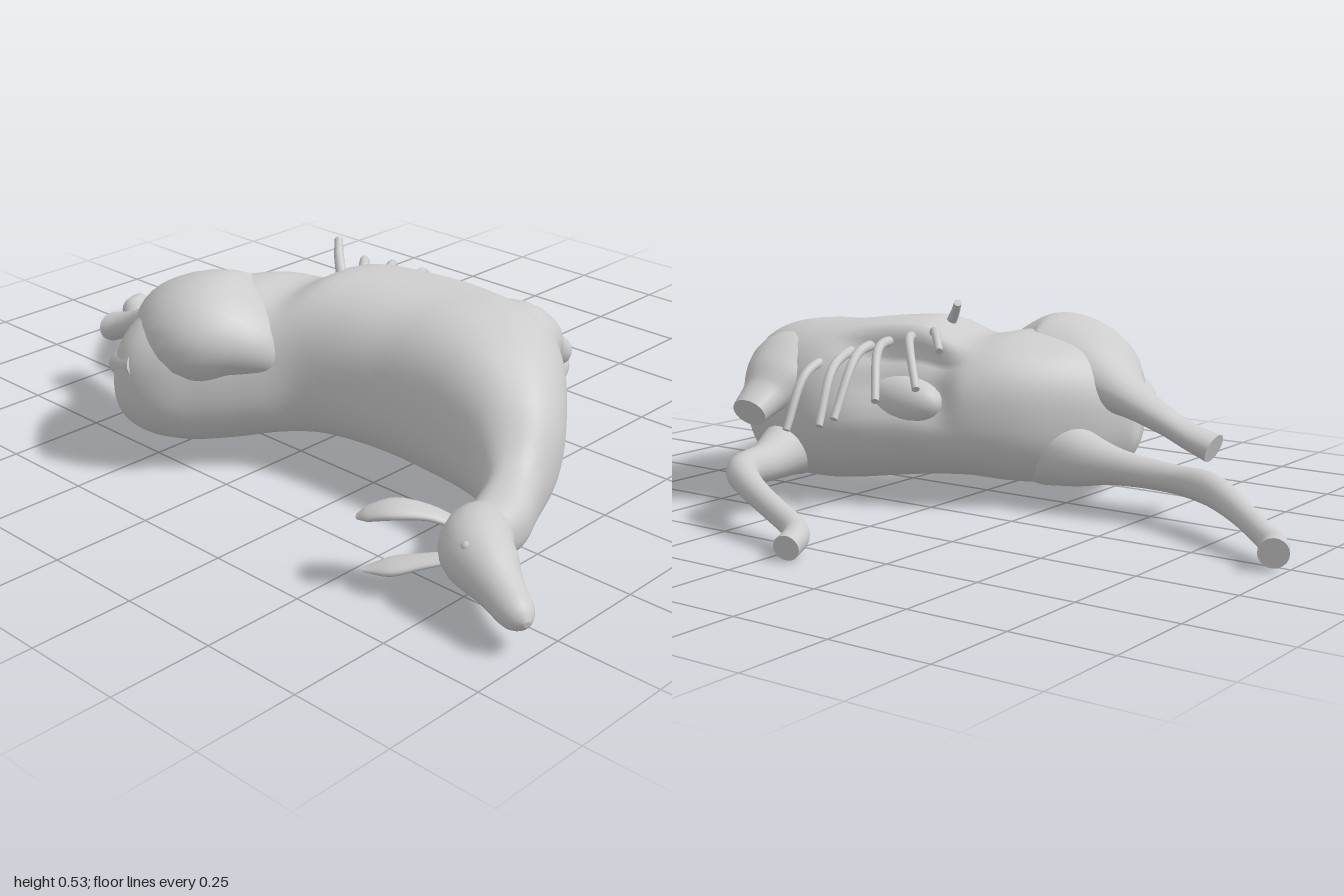
import * as THREE from 'three';

const material = new THREE.MeshStandardMaterial({ color: 0xcccccc, side: THREE.DoubleSide });
const V = (a) => new THREE.Vector3(a[0], a[1], a[2]);
const smooth = (a, b, x) => THREE.MathUtils.smoothstep(x, a, b);
const swell = (v) => Math.sign(v) * Math.pow(Math.abs(v), 0.85);

// Skin a list of equal rings with smooth sides and flat end caps.
function skin(rings) {
  const n = rings[0].length, pos = [], idx = [];
  rings.forEach((r) => r.forEach((p) => pos.push(p.x, p.y, p.z)));
  for (let i = 0; i < rings.length - 1; i++) {
    for (let j = 0; j < n; j++) {
      const a = i * n + j, b = i * n + (j + 1) % n;
      idx.push(a, a + n, b, b, a + n, b + n);
    }
  }
  [rings[0], rings[rings.length - 1]].forEach((r, end) => {
    const c = r.reduce((s, p) => s.add(p), new THREE.Vector3()).divideScalar(n);
    const base = pos.length / 3;
    pos.push(c.x, c.y, c.z);
    r.forEach((p) => pos.push(p.x, p.y, p.z));
    for (let j = 0; j < n; j++) {
      const a = base + 1 + j, b = base + 1 + (j + 1) % n;
      if (end) idx.push(base, b, a); else idx.push(base, a, b);
    }
  });
  // Turn the faces outward
  let volume = 0;
  const at = (i) => new THREE.Vector3().fromArray(pos, i * 3);
  for (let i = 0; i < idx.length; i += 3) volume += at(idx[i]).dot(at(idx[i + 1]).cross(at(idx[i + 2])));
  if (volume < 0) idx.reverse();
  const g = new THREE.BufferGeometry();
  g.setAttribute('position', new THREE.Float32BufferAttribute(pos, 3));
  g.setIndex(idx);
  g.computeVertexNormals();
  return g;
}

// Tapered tube through [x, y, z, radius] points; flat squeezes its thickness.
function limb(pts, { n = 20, steps = 36, flat = 1, round = false } = {}) {
  const path = new THREE.CatmullRomCurve3(pts.map(V));
  const radii = new THREE.CatmullRomCurve3(pts.map((p, i) => new THREE.Vector3(p[3], i, 0)));
  const rings = [];
  for (let i = 0; i <= steps; i++) {
    const t = i / steps, c = path.getPoint(t), dir = path.getTangent(t);
    let r = radii.getPoint(t).x;
    if (round) r *= Math.sqrt(Math.max(0.04, 1 - Math.pow(Math.max(0, (t - 0.85) / 0.15), 2)));
    const side = new THREE.Vector3(0, 1, 0).cross(dir).normalize();
    const up = dir.clone().cross(side);
    rings.push(Array.from({ length: n }, (_, j) => {
      const a = j / n * Math.PI * 2;
      return c.clone().addScaledVector(side, Math.cos(a) * r).addScaledVector(up, Math.sin(a) * r * flat);
    }));
  }
  return skin(rings);
}

// Body from sections [spineX, spineZ, bellyX, bellyZ, bottom, top].
function body(sections, n = 48, steps = 75) {
  const curve = (f) => new THREE.CatmullRomCurve3(sections.map(f));
  const L = curve((s) => new THREE.Vector3(s[0], 0, s[1]));
  const R = curve((s) => new THREE.Vector3(s[2], 0, s[3]));
  const H = curve((s, i) => new THREE.Vector3(s[4], s[5], i * 0.1));
  const rings = [];
  for (let i = 0; i <= steps; i++) {
    const t = i / steps, l = L.getPoint(t), r = R.getPoint(t), h = H.getPoint(t);
    const c = l.clone().add(r).multiplyScalar(0.5), half = r.clone().sub(l).multiplyScalar(0.5);
    // Open flank: hollow on the upper belly side, with a sharp upper rim
    const where = Math.exp(-Math.pow((t * (sections.length - 1) - 7.8) / 1.1, 4));
    rings.push(Array.from({ length: n }, (_, j) => {
      let a = j / n * Math.PI * 2;
      if (a > Math.PI) a -= Math.PI * 2;
      const dent = 1 - 0.3 * where * smooth(-0.25, 0.25, a) * (1 - smooth(0.8, 1.0, a));
      const p = c.clone().addScaledVector(half, swell(Math.cos(a)) * dent);
      p.y = (h.x + h.y) / 2 + swell(Math.sin(a)) * dent * (h.y - h.x) / 2;
      return p;
    }));
  }
  return skin(rings);
}

export function createModel() {
  const model = new THREE.Group();
  const add = (name, geometry) => {
    const mesh = new THREE.Mesh(geometry, material);
    mesh.name = name;
    model.add(mesh);
    return mesh;
  };

  // Neck, chest, belly and rump in one skin
  add('torso', body([
    [-0.51, 0.72, -0.47, 0.82, 0.08, 0.19],
    [-0.41, 0.685, -0.36, 0.805, 0.06, 0.20],
    [-0.33, 0.65, -0.25, 0.755, 0.05, 0.23],
    [-0.29, 0.57, -0.14, 0.72, 0.05, 0.33],
    [-0.28, 0.47, -0.01, 0.635, 0.04, 0.41],
    [-0.28, 0.36, 0.11, 0.52, 0.03, 0.45],
    [-0.29, 0.26, 0.155, 0.34, 0.035, 0.46],
    [-0.32, 0.16, 0.11, 0.18, 0.05, 0.475],
    [-0.36, 0.08, 0.06, 0.06, 0.06, 0.475],
    [-0.43, 0.01, 0.01, -0.05, 0.06, 0.43],
    [-0.52, -0.07, -0.04, -0.14, 0.045, 0.44],
    [-0.59, -0.14, -0.10, -0.22, 0.04, 0.43],
    [-0.62, -0.21, -0.18, -0.29, 0.05, 0.41],
    [-0.61, -0.27, -0.27, -0.345, 0.08, 0.36],
    [-0.55, -0.305, -0.36, -0.37, 0.14, 0.31],
    [-0.49, -0.32, -0.42, -0.35, 0.20, 0.25],
  ]));

  // Head
  add('head', limb([
    [-0.38, 0.13, 0.735, 0.05], [-0.45, 0.13, 0.75, 0.074], [-0.505, 0.13, 0.785, 0.081],
    [-0.535, 0.12, 0.84, 0.07], [-0.56, 0.105, 0.895, 0.052],
    [-0.58, 0.09, 0.945, 0.042], [-0.597, 0.08, 0.995, 0.036],
  ], { round: true }));
  const eye = add('eye', new THREE.SphereGeometry(0.014, 12, 8));
  eye.position.set(-0.567, 0.172, 0.81);

  // Ears
  add('upperEar', limb([
    [-0.49, 0.16, 0.73, 0.02], [-0.53, 0.185, 0.675, 0.03],
    [-0.575, 0.19, 0.615, 0.042], [-0.605, 0.175, 0.57, 0.032], [-0.62, 0.165, 0.55, 0.01],
  ], { flat: 0.4, steps: 20 }));
  add('lowerEar', limb([
    [-0.50, 0.09, 0.73, 0.02], [-0.55, 0.075, 0.67, 0.03],
    [-0.59, 0.06, 0.62, 0.036], [-0.625, 0.05, 0.575, 0.01],
  ], { flat: 0.4, steps: 20 }));

  // Forelegs: the lower one whole, the upper one cut short
  add('lowerForeleg', limb([
    [-0.10, 0.16, 0.46, 0.05], [0.02, 0.135, 0.425, 0.09], [0.13, 0.125, 0.385, 0.07],
    [0.26, 0.12, 0.335, 0.05], [0.39, 0.125, 0.29, 0.042], [0.45, 0.11, 0.21, 0.034],
    [0.50, 0.08, 0.09, 0.03], [0.54, 0.055, -0.01, 0.03],
    [0.57, 0.045, -0.04, 0.032], [0.62, 0.032, -0.055, 0.032],
  ], { steps: 48 }));
  add('upperForeleg', limb([
    [-0.12, 0.27, 0.42, 0.05], [-0.03, 0.31, 0.42, 0.13], [0.05, 0.325, 0.415, 0.13],
    [0.12, 0.31, 0.41, 0.10], [0.18, 0.275, 0.405, 0.066], [0.245, 0.24, 0.40, 0.05],
  ], { flat: 0.8 }));

  // Hind legs, the upper thigh broad and flat
  add('lowerHindLeg', limb([
    [-0.30, 0.20, -0.04, 0.05], [-0.26, 0.15, -0.16, 0.10], [-0.22, 0.135, -0.29, 0.08],
    [-0.21, 0.125, -0.43, 0.046], [-0.215, 0.115, -0.58, 0.036], [-0.19, 0.11, -0.69, 0.04],
    [-0.11, 0.09, -0.81, 0.032], [-0.03, 0.06, -0.92, 0.029],
    [0.005, 0.05, -0.96, 0.033], [0.045, 0.045, -0.978, 0.036],
  ], { steps: 48 }));
  add('upperHindLeg', limb([
    [-0.32, 0.27, 0.02, 0.05], [-0.37, 0.325, -0.05, 0.13], [-0.395, 0.338, -0.13, 0.185],
    [-0.38, 0.33, -0.24, 0.15], [-0.335, 0.285, -0.37, 0.072], [-0.315, 0.235, -0.50, 0.046],
    [-0.315, 0.20, -0.58, 0.045], [-0.32, 0.18, -0.635, 0.05],
  ], { flat: 0.74, n: 28 }));

  // Tail
  add('tail', limb([
    [-0.57, 0.28, -0.20, 0.05], [-0.565, 0.26, -0.27, 0.045], [-0.535, 0.23, -0.32, 0.03], [-0.51, 0.20, -0.345, 0.015],
  ], { flat: 0.8 }));

  // Bare ribs arching over the open flank: [root, middle, tip]
  const ribs = [
    [[0.04, 0.38, 0.28], [0.17, 0.34, 0.275], [0.25, 0.21, 0.27]],
    [[0.02, 0.40, 0.23], [0.15, 0.36, 0.20], [0.24, 0.23, 0.17]],
    [[-0.01, 0.41, 0.19], [0.12, 0.39, 0.15], [0.23, 0.25, 0.13]],
    [[-0.04, 0.42, 0.15], [0.09, 0.41, 0.10], [0.19, 0.30, 0.03]],
    [[-0.07, 0.43, 0.11], [0.04, 0.43, 0.04], [0.13, 0.33, -0.05]],
    [[-0.09, 0.43, 0.06], [-0.03, 0.45, 0.01], [0.02, 0.41, -0.04]],
    [[-0.16, 0.45, 0.06], [-0.13, 0.49, 0.02], [-0.10, 0.52, -0.01]],
  ];
  ribs.forEach((r, i) => add('rib' + (i + 1),
    limb(r.map((p, k) => [...p, 0.014 - k * 0.002]), { n: 10, steps: 14 })));

  // Loose tissue inside the open flank
  const tissue = add('innerTissue', new THREE.SphereGeometry(0.08, 20, 14));
  tissue.position.set(0.0, 0.27, 0.09);
  tissue.scale.set(0.8, 0.8, 1.5);
  return model;
}
